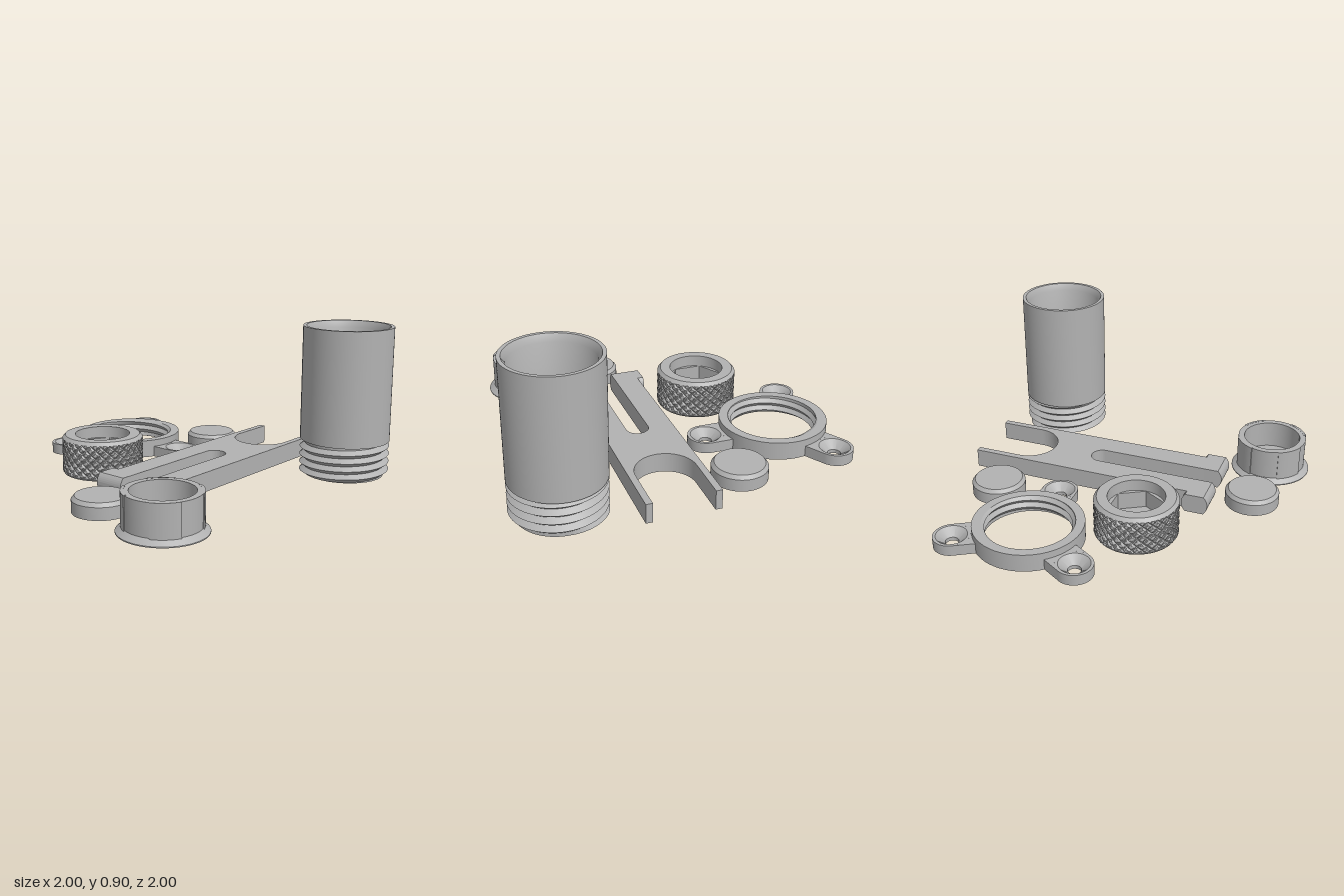
import * as THREE from 'three';
import { toCreasedNormals } from 'three/addons/utils/BufferGeometryUtils.js';

const grey = new THREE.MeshStandardMaterial({ color: 0xb2b2b2 });
grey.name = 'grey plastic';

const TAU = Math.PI * 2;
const group = (name, x, z) => {
  const g = new THREE.Group();
  g.name = name;
  g.position.set(x, 0, z);
  return g;
};

function add(parent, name, geometry, y = 0) {
  const mesh = new THREE.Mesh(toCreasedNormals(geometry, 0.5), grey);
  mesh.name = name;
  mesh.position.y = y;
  parent.add(mesh);
  return mesh;
}

// Turned solid: profile [radius, y] runs up the outside and down the inside
const turned = (profile, segments = 96) =>
  new THREE.LatheGeometry(profile.map(([r, y]) => new THREE.Vector2(r, y)), segments);

// Upright plate from an outline drawn in x and -z
const plate = (shape, height, curveSegments = 48) =>
  new THREE.ExtrudeGeometry(shape, { depth: height, bevelEnabled: false, curveSegments }).rotateX(-Math.PI / 2);

const circlePath = (x, y, r) => new THREE.Path().absarc(x, y, r, 0, TAU, true);

// Wall wrapped round the y axis; point(row, angle) returns [radius, y]
function wrappedWall(rows, segments, point, inward = false) {
  const pos = [], index = [];
  for (let j = 0; j <= rows; j++)
    for (let i = 0; i <= segments; i++) {
      const a = (i / segments) * TAU;
      const [r, y] = point(j, a);
      pos.push(r * Math.sin(a), y, r * Math.cos(a));
      if (i < segments && j < rows) {
        const p = j * (segments + 1) + i, q = p + segments + 1;
        if (inward) index.push(p, q, p + 1, p + 1, q, q + 1);
        else index.push(p, p + 1, q, p + 1, q + 1, q);
      }
    }
  const g = new THREE.BufferGeometry();
  g.setAttribute('position', new THREE.Float32BufferAttribute(pos, 3));
  g.setIndex(index);
  return g;
}

// Helical V thread between radius base and radius tip
function thread(base, tip, y0, y1, pitch, inward) {
  const rows = 2 * Math.ceil((y1 - y0) / pitch) + 4;
  return wrappedWall(rows, 96, (j, a) => {
    const y = THREE.MathUtils.clamp(y0 + pitch * (j / 2 + a / TAU - 1), y0, y1);
    const phase = (((y - y0) / pitch - a / TAU) % 1 + 1) % 1;
    const ridge = 1 - Math.abs(2 * phase - 1);
    const fade = Math.min(1, (y - y0) / 0.008, (y1 - y) / 0.008);
    return [base + (tip - base) * ridge * fade, y];
  }, inward);
}

// Tall tube with threaded foot and slotted inner floor
function tube() {
  const g = group('threadedTube', 0.73, -0.735);
  add(g, 'tubeBody', turned([
    [0.218, 0], [0.236, 0], [0.236, 0.215], [0.267, 0.215], [0.267, 0.9],
    [0.246, 0.9], [0.226, 0.86], [0.226, 0.3], [0.218, 0.3], [0.218, 0]]));
  add(g, 'tubeThread', thread(0.237, 0.267, 0, 0.215, 0.048));
  const floor = new THREE.Shape().absarc(0, 0, 0.23, 0, TAU);
  floor.holes.push(circlePath(0, 0, 0.11));
  for (const s of [-1, 1])
    floor.holes.push(new THREE.Path([[0.157, -0.067], [0.157, 0.067], [0.215, 0.067], [0.215, -0.067]]
      .map(([x, y]) => new THREE.Vector2(s * x, y))));
  add(g, 'tubeFloor', plate(floor, 0.05), 0.42);
  add(g, 'floorCollar', turned([[0.11, 0], [0.138, 0], [0.138, 0.06], [0.11, 0.06], [0.11, 0]]), 0.465);
  return g;
}

// Threaded ring with three countersunk lugs
function ringBracket() {
  const g = group('ringBracket', -0.683, -0.35);
  add(g, 'ringBody', turned([[0.266, 0], [0.32, 0], [0.32, 0.108], [0.266, 0.108]]));
  add(g, 'ringThread', thread(0.266, 0.247, 0, 0.108, 0.048, true));
  for (let i = 0; i < 3; i++) {
    const lug = new THREE.Group();
    lug.name = 'lug';
    lug.rotation.y = (i * TAU) / 3;
    // Web follows the ring on its inner edge and leaves room for the eye
    const web = new THREE.Shape();
    web.absarc(0, 0, 0.3, -0.364, 0.364, false);
    web.lineTo(0.43, 0.107);
    web.absarc(0.43, 0, 0.107, Math.PI / 2, Math.PI * 1.5, false);
    web.closePath();
    add(lug, 'lugWeb', plate(web, 0.065));
    const eye = add(lug, 'lugEye', turned([
      [0.038, 0], [0.107, 0], [0.107, 0.065], [0.09, 0.065], [0.038, 0.022], [0.038, 0]], 48));
    eye.position.x = 0.43;
    g.add(lug);
  }
  return g;
}

// Knurled knob with round mouth, hexagonal pocket and through hole
function knob() {
  const g = group('knurledKnob', -0.407, 0.195);
  const count = 26, cell = 0.052, low = 0.012, high = 0.215;
  const nearLine = (t) => Math.abs(t - Math.round(t));
  add(g, 'knurledGrip', wrappedWall(32, count * 8, (j, a) => {
    const y = low + (high - low) * (j / 32);
    const u = (a / TAU) * count, v = y / cell;
    const d = Math.min(nearLine(u + v), nearLine(u - v));
    return [0.245 - 0.012 * (1 - Math.min(1, d * 4.5)), y];
  }));
  add(g, 'knobBase', turned([[0.088, 0], [0.236, 0], [0.244, low], [0.233, low]]));
  add(g, 'knobRim', turned([[0.233, high], [0.244, high], [0.226, 0.235], [0.165, 0.235], [0.165, 0.165]]));
  const hex = new THREE.Shape().absarc(0, 0, 0.2, 0, TAU);
  const corners = Array.from({ length: 6 }, (_, i) =>
    new THREE.Vector2(0.165 * Math.cos(-i * TAU / 6), 0.165 * Math.sin(-i * TAU / 6)));
  hex.holes.push(new THREE.Path(corners));
  add(g, 'hexPocket', plate(hex, 0.115), 0.05);
  add(g, 'knobFloor', turned([[0.088, 0], [0.2, 0], [0.2, 0.06], [0.088, 0.06], [0.088, 0]]));
  return g;
}

// Flanged cup with shallow raised pads on its wall
function flangedCup() {
  const g = group('flangedCup', 0.572, 0.75);
  add(g, 'cupBody', turned([
    [0.088, 0], [0.243, 0], [0.243, 0.006], [0.21, 0.034], [0.21, 0.215],
    [0.173, 0.215], [0.173, 0.05], [0.088, 0.05], [0.088, 0]]));
  for (let i = 0; i < 4; i++) {
    const pad = new THREE.Shape();
    const mid = (i + 0.5) * TAU / 4;
    pad.absarc(0, 0, 0.215, mid - 0.38, mid + 0.38, false);
    pad.absarc(0, 0, 0.2, mid + 0.38, mid - 0.38, true);
    add(g, 'wallPad', plate(pad, 0.186, 16), 0.03);
  }
  return g;
}

// Forked arm with a slot and a clipped round pivot on each leg
function forkArm() {
  const g = group('forkArm', 0.13, 0);
  const s = new THREE.Shape();
  s.moveTo(-0.212, 1);
  s.lineTo(-0.212, -0.45);
  s.lineTo(-0.067, -0.45);
  s.lineTo(-0.067, 0.23);
  s.absarc(0, 0.23, 0.067, Math.PI, 0, true);
  s.lineTo(0.067, -0.45);
  s.lineTo(0.212, -0.45);
  s.lineTo(0.212, 1);
  s.lineTo(0.174, 1);
  s.lineTo(0.174, 0.725);
  s.absarc(0, 0.725, 0.174, 0, Math.PI, true);
  s.lineTo(-0.174, 1);
  s.closePath();
  add(g, 'armPlate', plate(s, 0.115, 32));
  const a = Math.asin(0.0575 / 0.08);
  const pivot = new THREE.Shape();
  pivot.absarc(0, 0, 0.08, -a, a, false);
  pivot.absarc(0, 0, 0.08, Math.PI - a, Math.PI + a, false);
  pivot.closePath();
  for (const side of [-1, 1]) {
    const geo = new THREE.ExtrudeGeometry(pivot, { depth: 0.183, bevelEnabled: false, curveSegments: 24 });
    geo.translate(0, 0, -0.0915).rotateY(Math.PI / 2);
    const mesh = add(g, 'pivot', geo, 0.0575);
    mesh.position.x = side * 0.1585;
    mesh.position.z = 0.45;
  }
  return g;
}

// Chamfered round button
function button(x, z) {
  const g = group('button', x, z);
  add(g, 'buttonBody', turned([[0, 0], [0.161, 0], [0.161, 0.072], [0.143, 0.093], [0, 0.093]], 64));
  return g;
}

export function createModel() {
  const model = new THREE.Group();
  model.name = 'partsSet';
  model.add(tube(), ringBracket(), knob(), flangedCup(), forkArm(), button(0.123, 0.74), button(-0.297, -0.737));
  return model;
}
